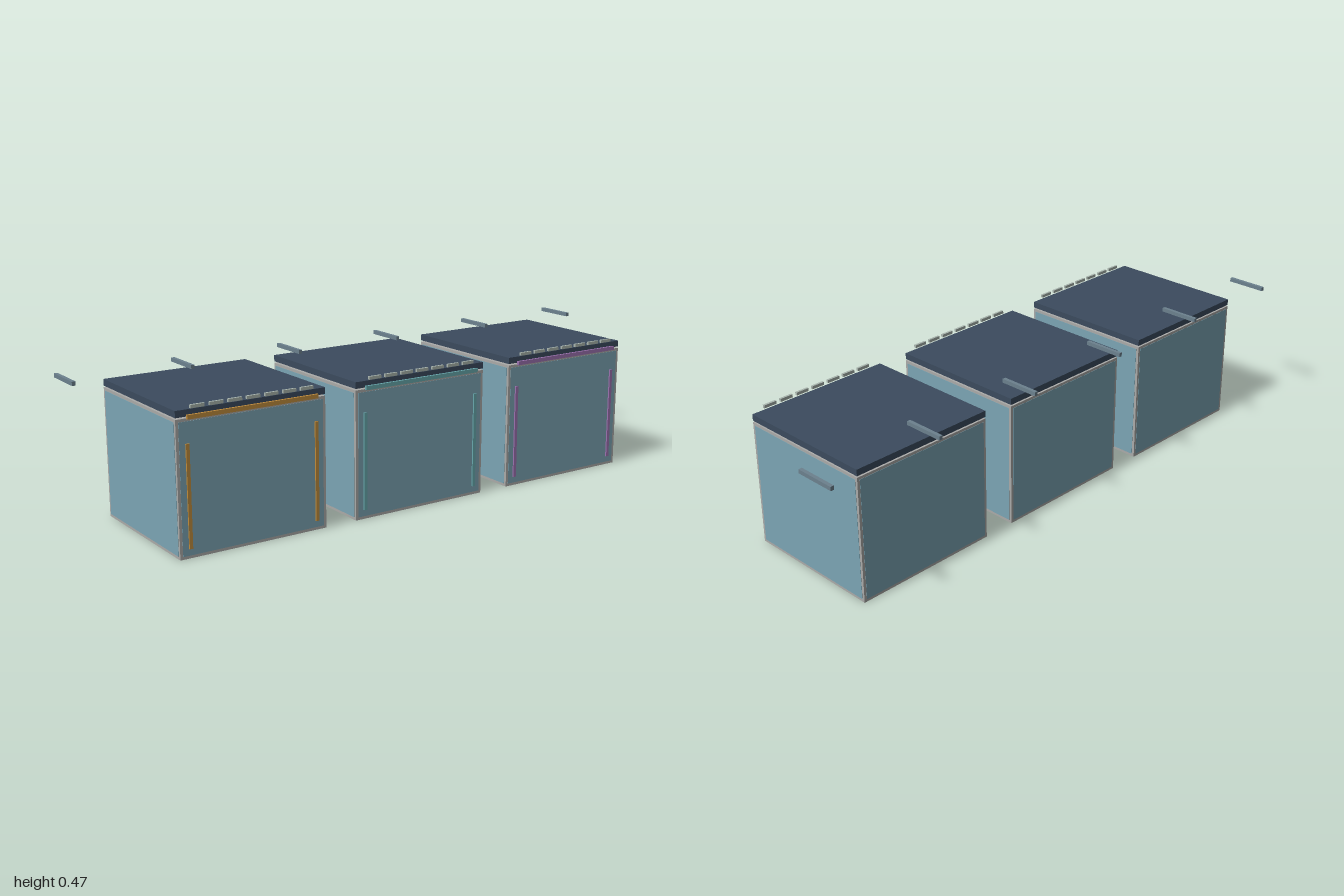
import * as THREE from 'three';

const mat = (name, color) => {
  const m = new THREE.MeshStandardMaterial({ color });
  m.name = name;
  return m;
};

export function createModel() {
  const glass = mat('blue panel', 0x7ba5b4);
  const metal = mat('grey frame', 0xababa9);
  const lidBlue = mat('dark slate', 0x3b4b5e);
  const rodGrey = mat('rod grey', 0x6c818e);
  const pale = mat('pale marker', 0xa9b5ae);
  const accents = [mat('amber', 0xc08c3c), mat('teal', 0x68a9ae), mat('purple', 0x9c72b0)];

  const model = new THREE.Group();
  model.name = 'cabinetRow';

  // Box from its size and centre
  const box = (parent, name, material, [w, h, d], [x, y, z]) => {
    const mesh = new THREE.Mesh(new THREE.BoxGeometry(w, h, d), material);
    mesh.name = name;
    mesh.position.set(x, y, z);
    parent.add(mesh);
  };

  const W = 0.502, H = 0.42, D = 0.484, T = 0.018; // outer size and bar thickness
  const inset = 0.009, thin = 0.008;
  const CZ = 0.022;

  const buildCabinet = (cx, accent) => {
    const cabinet = new THREE.Group();
    cabinet.name = 'cabinet';
    cabinet.position.set(cx, 0, CZ);
    model.add(cabinet);
    const px = W / 2 - T / 2, pz = D / 2 - T / 2;

    // Frame of posts and rails
    for (const s of [-1, 1]) {
      for (const t of [-1, 1]) box(cabinet, 'cornerPost', metal, [T, H, T], [s * px, H / 2, t * pz]);
      for (const y of [T / 2, H - T / 2]) {
        box(cabinet, 'frontBackRail', metal, [W - 2 * T, T, T], [0, y, s * pz]);
        box(cabinet, 'sideRail', metal, [T, T, D - 2 * T], [s * px, y, 0]);
      }
      // Wall panels, a hair proud of the frame; the bottom stays open
      const ph = H - 2 * inset;
      box(cabinet, 'sidePanel', glass, [thin, ph, D - 2 * inset], [s * (W / 2 + 0.001 - thin / 2), H / 2, 0]);
      box(cabinet, 'frontBackPanel', glass, [W - 2 * inset, ph, thin], [0, H / 2, s * (D / 2 + 0.001 - thin / 2)]);
      // Upright accent strips on the front
      box(cabinet, 'accentStrip', accent, [0.011, 0.316, 0.005], [s * 0.217, 0.188, D / 2 + 0.0035]);
    }

    // Lid, accent bar below its front edge, and row of markers above it
    box(cabinet, 'lid', lidBlue, [W, 0.021, D], [0, 0.4355, 0]);
    box(cabinet, 'accentBar', accent, [0.438, 0.013, 0.008], [0, 0.4255, 0.251]);
    for (let i = -3; i <= 3; i++) {
      box(cabinet, 'marker', pale, [0.045, 0.01, 0.008], [i * 0.061, 0.454, 0.246]);
    }
  };
  accents.forEach((accent, i) => buildCabinet((i - 1) * 0.613, accent));

  // Evenly spaced rods over the back edge
  for (let i = 0; i < 6; i++) {
    box(model, 'rod', rodGrey, [0.012, 0.013, 0.139], [(i - 2.5) * 0.3976, 0.4645, -0.2075]);
  }
  return model;
}
